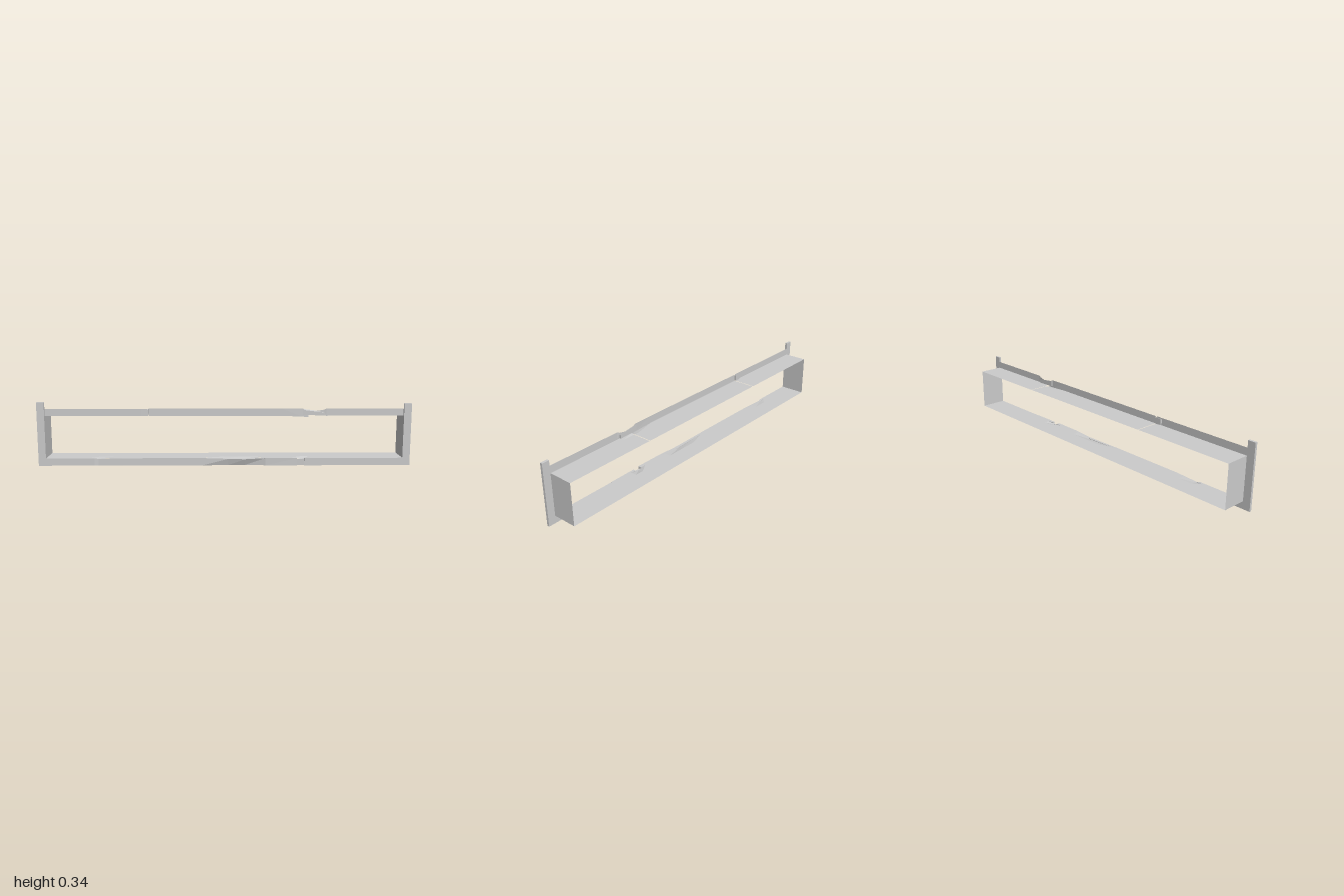
import * as THREE from 'three';

const material = new THREE.MeshStandardMaterial({
  color: 0xcccccc, flatShading: true, side: THREE.DoubleSide,
});

// Skins a run of cross-sections; each section is { x, points: [[z, y], ...] }.
function loft(name, sections, closed = false) {
  const pos = [];
  const put = (s, j) => pos.push(s.x, s.points[j][1], s.points[j][0]);
  const n = sections[0].points.length;
  for (let i = 0; i < sections.length - 1; i++) {
    const a = sections[i], b = sections[i + 1];
    for (let j = 0; j < (closed ? n : n - 1); j++) {
      const k = (j + 1) % n;
      put(a, j); put(b, j); put(b, k);
      put(a, j); put(b, k); put(a, k);
    }
  }
  if (closed) {
    const first = sections[0], last = sections[sections.length - 1];
    for (let j = 1; j < n - 1; j++) {
      put(first, 0); put(first, j); put(first, j + 1);
      put(last, 0); put(last, j + 1); put(last, j);
    }
  }
  const geometry = new THREE.BufferGeometry();
  geometry.setAttribute('position', new THREE.Float32BufferAttribute(pos, 3));
  geometry.computeVertexNormals();
  const mesh = new THREE.Mesh(geometry, material);
  mesh.name = name;
  return mesh;
}

const BACK = -0.075, FACE = 0.057, FRONT = 0.07;
const SIDE = 0.96, SILL = 0.04, HEAD = 0.268, RIM = 0.307;

export function createModel() {
  const group = new THREE.Group();
  group.name = 'openingFrame';

  // Upright posts, one slightly broken off at the top
  for (const [name, side, height] of [['rightPost', -1, 0.343], ['leftPost', 1, 0.335]]) {
    const post = new THREE.Mesh(new THREE.BoxGeometry(0.04, height, FRONT - FACE), material);
    post.position.set(side * 0.98, height / 2, (FRONT + FACE) / 2);
    post.name = name;
    group.add(post);
  }

  // Thin end walls of the lining
  for (const side of [-1, 1]) {
    const wall = new THREE.Mesh(new THREE.PlaneGeometry(FACE - BACK, HEAD - SILL), material);
    wall.rotation.y = side * Math.PI / 2;
    wall.position.set(side * SIDE, (HEAD + SILL) / 2, (FACE + BACK) / 2);
    wall.name = side < 0 ? 'rightLining' : 'leftLining';
    group.add(wall);
  }

  // Sill lining, its front edge dented: [x, edge height]
  const sillEdge = [[-SIDE, SILL], [-0.72, SILL], [-0.68, 0.036], [-0.6, SILL], [-0.1, SILL],
    [0.0, 0.034], [0.09, 0.032], [0.2, SILL], [0.36, SILL], [0.41, 0.031], [0.46, SILL], [SIDE, SILL]];
  group.add(loft('sillLining', sillEdge.map(([x, y]) => ({
    x, points: [[FACE, y], [0.025, SILL], [BACK, SILL]],
  }))));

  // Bottom rail in cracked pieces: [x, bottom front z, top front z, top y]
  const railPieces = [
    [[-SIDE, 0.07, 0.07, SILL], [-0.7, 0.07, 0.07, SILL], [-0.68, 0.066, 0.066, 0.036],
      [-0.55, 0.069, 0.069, SILL], [-0.12, 0.069, 0.069, SILL], [0.02, 0.062, 0.072, 0.036],
      [0.11, 0.061, 0.074, 0.034], [0.22, 0.07, 0.074, SILL]],
    [[0.22, 0.074, 0.075, SILL], [0.39, 0.077, 0.077, SILL]],
    [[0.39, 0.064, 0.064, 0.032], [0.43, 0.066, 0.066, 0.034]],
    [[0.43, 0.073, 0.073, SILL], [0.59, 0.072, 0.072, SILL]],
    [[0.59, 0.07, 0.07, SILL], [SIDE, 0.07, 0.07, SILL]],
  ];
  railPieces.forEach((piece, i) => group.add(loft('bottomRail' + (i + 1), piece.map(
    ([x, low, high, top]) => ({ x, points: [[low, 0], [high, top], [FACE, top], [FACE, 0]] })), true)));

  // Head lining with upturned front flange, split by cracks: [x, edge z, edge y, rim z, rim y]
  const headPieces = [
    [[-SIDE, FACE, HEAD, FACE, RIM], [-0.445, FACE, HEAD, FACE, RIM], [-0.41, FACE, HEAD, FACE, RIM]],
    [[-0.405, 0.055, HEAD, 0.055, RIM], [0.31, FACE, HEAD, FACE, RIM],
      [0.42, FACE, 0.263, 0.056, RIM], [0.45, FACE, 0.262, 0.055, 0.285]],
    [[0.455, 0.05, 0.272, 0.048, 0.288], [0.53, 0.056, HEAD, 0.055, 0.3],
      [0.545, FACE, HEAD, FACE, RIM], [SIDE, FACE, HEAD, FACE, RIM]],
  ];
  headPieces.forEach((piece, i) => group.add(loft('headLining' + (i + 1), piece.map(
    ([x, z, y, rimZ, rimY]) => ({ x, points: [[rimZ, rimY], [z, y], [0.03, HEAD], [BACK, HEAD]] })))));

  // Loose flange chips beside the cracks
  const chip = (name, x0, x1, lean) => loft(name, [
    { x: x0, points: [[FACE, 0.272], [FACE, 0.3], [0.047, 0.304], [0.047, 0.272]] },
    { x: x1, points: [[FACE, 0.27], [FACE, 0.3 - lean], [0.047, 0.304 - lean], [0.047, 0.27]] },
  ], true);
  group.add(chip('headChipLeft', 0.42, 0.53, 0.014), chip('headChipRight', -0.445, -0.408, 0));

  return group;
}
